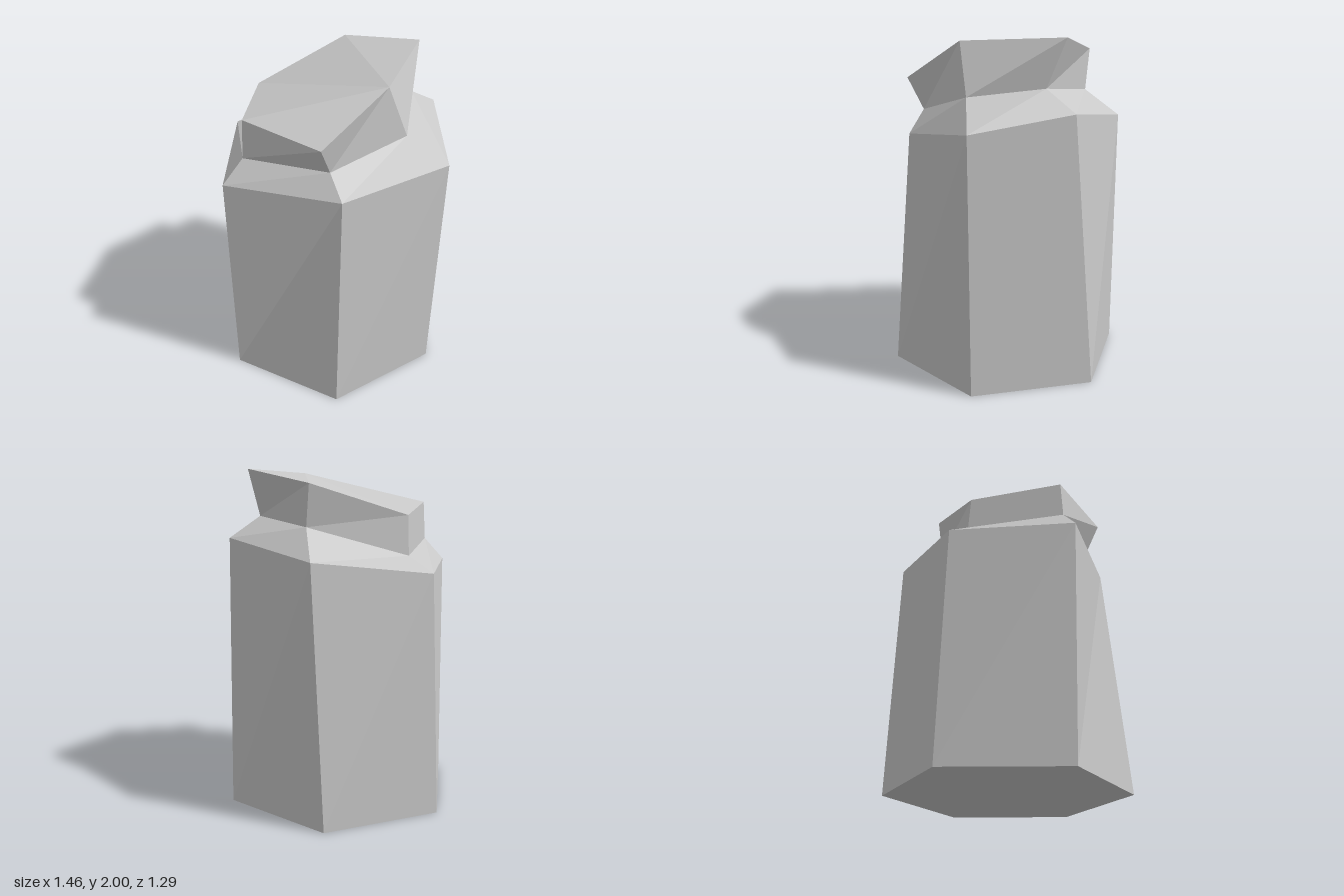
import * as THREE from 'three';

// Six-sided cross-sections from bottom to top, each starting at +x and
// running counter-clockwise as seen from above.
const base = [[0.71, 0, 0], [0.35, 0, -0.63], [-0.37, 0, -0.63], [-0.73, 0, -0.01], [-0.37, 0, 0.615], [0.35, 0, 0.615]];
const shoulder = [[0.73, 1.51, 0], [0.43, 1.6, -0.52], [-0.3, 1.51, -0.645], [-0.67, 1.42, -0.01], [-0.34, 1.435, 0.645], [0.32, 1.435, 0.5]];
const neck = [[0.5, 1.68, 0.08], [0.355, 1.725, -0.335], [-0.12, 1.68, -0.465], [-0.495, 1.51, 0], [-0.27, 1.57, 0.535], [0.22, 1.57, 0.445]];
const crown = [[0.41, 1.98, 0.145], [0.34, 2, -0.445], [-0.155, 1.92, -0.48], [-0.48, 1.74, 0.01], [-0.265, 1.8, 0.52], [0.22, 1.755, 0.545]];

// Faceted surface between consecutive rings, with optional end caps
function loft(rings, { bottom = false, top = false }) {
  const points = [];
  const tri = (a, b, c) => points.push(...a, ...b, ...c);
  for (let r = 0; r < rings.length - 1; r++) {
    const low = rings[r], high = rings[r + 1];
    for (let i = 0; i < low.length; i++) {
      const j = (i + 1) % low.length;
      tri(low[i], low[j], high[j]);
      tri(low[i], high[j], high[i]);
    }
  }
  const first = rings[0], last = rings[rings.length - 1];
  for (let i = 1; i < first.length - 1; i++) {
    if (bottom) tri(first[0], first[i + 1], first[i]);
    if (top) tri(last[0], last[i], last[i + 1]);
  }
  // Unshared corners give every facet its own flat normal
  const geometry = new THREE.BufferGeometry();
  geometry.setAttribute('position', new THREE.Float32BufferAttribute(points, 3));
  geometry.computeVertexNormals();
  return geometry;
}

export function createModel() {
  const stone = new THREE.MeshStandardMaterial({ color: 0xc8c8c8 });
  stone.name = 'light stone grey';

  const group = new THREE.Group();
  group.name = 'rockPillar';
  const add = (name, rings, caps) => {
    const mesh = new THREE.Mesh(loft(rings, caps), stone);
    mesh.name = name;
    group.add(mesh);
  };

  add('column', [base, shoulder], { bottom: true });
  add('shoulderSlope', [shoulder, neck], {});
  add('capStone', [neck, crown], { top: true });
  return group;
}
